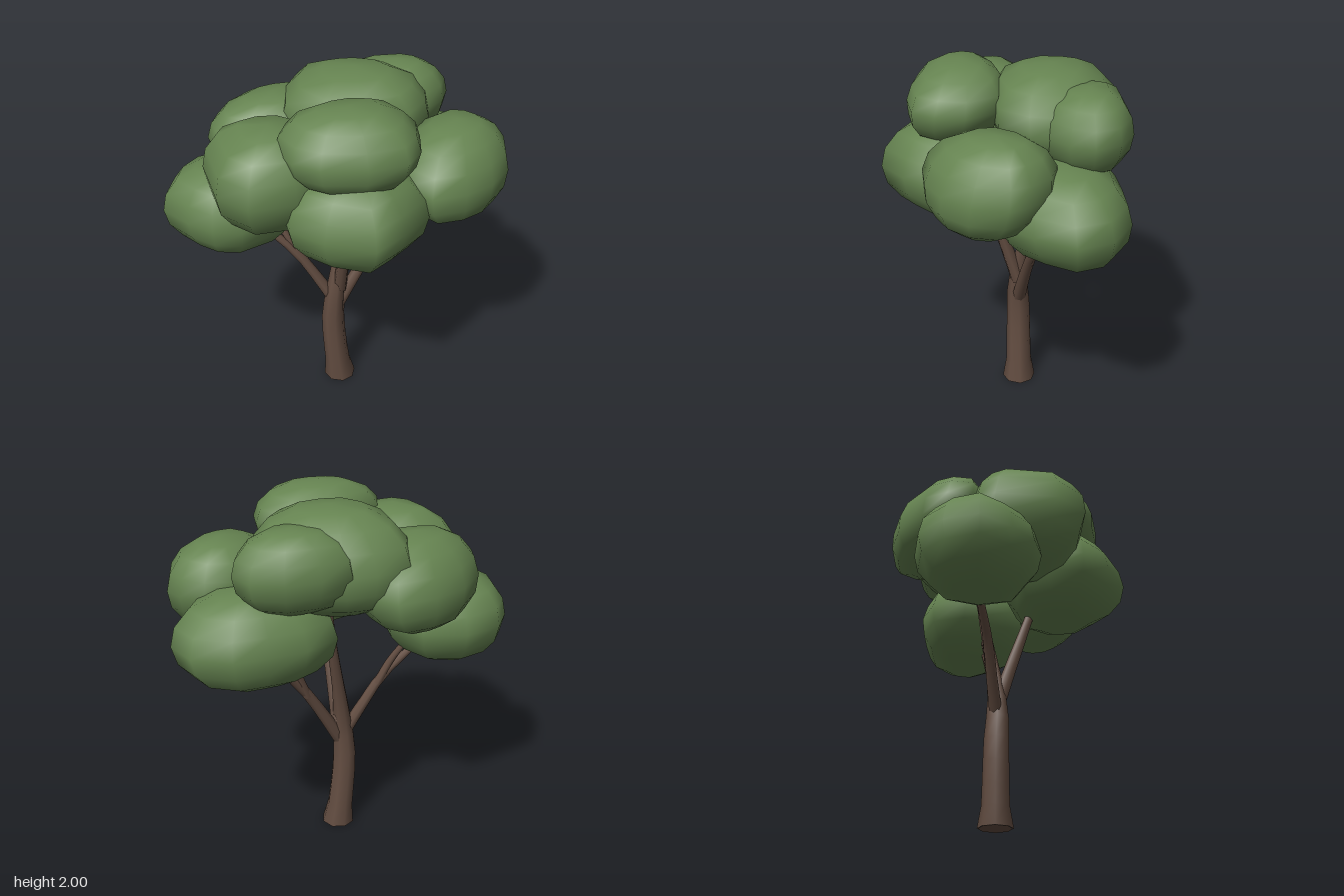
import * as THREE from 'three';
import { mergeVertices } from 'three/addons/utils/BufferGeometryUtils.js';

const bark = new THREE.MeshStandardMaterial({ color: 0x644e42 });
bark.name = 'bark brown';
const leaf = new THREE.MeshStandardMaterial({ color: 0x668451 });
leaf.name = 'leaf green';

// Tapered tube along a smooth path; radii are spread evenly along its length
function limb(name, points, radii, sides = 7, rings = 6) {
  const curve = new THREE.CatmullRomCurve3(points.map((p) => new THREE.Vector3(...p)));
  const geo = new THREE.TubeGeometry(curve, rings, 1, sides, false);
  const pos = geo.attributes.position;
  const v = new THREE.Vector3();
  for (let i = 0; i <= rings; i++) {
    const t = (i / rings) * (radii.length - 1);
    const k = Math.min(Math.floor(t), radii.length - 2);
    const r = THREE.MathUtils.lerp(radii[k], radii[k + 1], t - k);
    const c = curve.getPointAt(i / rings);
    for (let j = 0; j <= sides; j++) {
      const n = i * (sides + 1) + j;
      v.fromBufferAttribute(pos, n).sub(c).multiplyScalar(r).add(c);
      pos.setXYZ(n, v.x, v.y, v.z);
    }
  }
  const mesh = new THREE.Mesh(geo, bark);
  mesh.name = name;
  return mesh;
}

// Leaf clump: a plan outline of [x, z] points, swelling from a low pole to a high pole;
// lean moves the high pole along z and the low pole the other way
function clump(name, low, high, lean, outline) {
  const rows = 8, n = outline.length;
  const cx = outline.reduce((s, p) => s + p[0], 0) / n;
  const cz = outline.reduce((s, p) => s + p[1], 0) / n;
  const verts = [], index = [];
  for (let k = 0; k <= rows; k++) {
    const a = (k / rows) * Math.PI;
    const s = k % rows ? Math.sin(a) ** 0.85 : 0;
    const y = (low + high) / 2 + Math.cos(a) * (high - low) / 2;
    const shift = lean * Math.cos(a);
    outline.forEach(([x, z], j) => {
      verts.push(cx + (x - cx) * s, y, cz + (z - cz) * s + shift);
      if (k === rows) return;
      const p = k * n + j, q = k * n + (j + 1) % n;
      if (k < rows - 1) index.push(p, q + n, p + n);
      if (k > 0) index.push(p, q, q + n);
    });
  }
  let geo = new THREE.BufferGeometry();
  geo.setAttribute('position', new THREE.Float32BufferAttribute(verts, 3));
  geo.setIndex(index);
  geo = mergeVertices(geo);
  geo.computeVertexNormals();
  const mesh = new THREE.Mesh(geo, leaf);
  mesh.name = name;
  return mesh;
}

export function createModel() {
  const tree = new THREE.Group();
  tree.name = 'tree';

  // Trunk with a flared foot
  const trunk = limb('trunk',
    [[0, 0, -0.077], [-0.015, 0.12, -0.077], [-0.04, 0.45, -0.075], [-0.028, 0.65, -0.07],
      [0, 0.85, -0.09], [0.07, 1.2, -0.15], [0.1, 1.4, -0.18]],
    [0.096, 0.075, 0.072, 0.07, 0.068, 0.062, 0.052, 0.043, 0.036, 0.032, 0.028, 0.025, 0.022], 8, 12);
  const p = trunk.geometry.attributes.position;
  for (let i = 0; i < 9; i++) p.setY(i, 0);
  tree.add(trunk);

  const foot = new THREE.Mesh(new THREE.CircleGeometry(0.092, 8), bark);
  foot.name = 'trunkFoot';
  foot.rotation.x = Math.PI / 2;
  foot.position.set(0, 0.001, -0.077);
  tree.add(foot);

  // Branches: one forward, and a forked one on each side
  tree.add(
    limb('frontBranch', [[0, 0.68, -0.07], [0.005, 0.9, 0], [0.012, 1.2, 0.1], [0.015, 1.45, 0.18]],
      [0.042, 0.034, 0.026, 0.02]),
    limb('rightBranch', [[-0.03, 0.58, -0.075], [-0.14, 0.77, -0.1], [-0.25, 0.94, -0.12], [-0.46, 1.15, -0.17]],
      [0.038, 0.031, 0.026, 0.018]),
    limb('rightTwig', [[-0.22, 0.9, -0.12], [-0.29, 1.04, -0.14], [-0.36, 1.16, -0.18]], [0.025, 0.021, 0.016]),
    limb('leftBranch', [[-0.005, 0.57, -0.075], [0.1, 0.75, -0.09], [0.22, 0.94, -0.11], [0.48, 1.25, -0.17]],
      [0.04, 0.032, 0.026, 0.018]),
    limb('leftTwig', [[0.2, 0.9, -0.11], [0.26, 1.05, -0.13], [0.35, 1.34, -0.18]], [0.025, 0.021, 0.016]),
  );

  // Leaf clumps; outlines run left, back, right, front as seen from above
  tree.add(
    clump('rightLowClump', 1.04, 1.54, 0, [[-0.95, -0.15], [-0.89, -0.33], [-0.77, -0.46], [-0.55, -0.5],
      [-0.34, -0.4], [-0.25, -0.17], [-0.31, 0.06], [-0.56, 0.16], [-0.71, 0.12], [-0.83, 0.01]]),
    clump('leftLowClump', 1.14, 1.64, 0.02, [[0.12, -0.27], [0.17, -0.46], [0.36, -0.54], [0.55, -0.54], [0.73, -0.53],
      [0.9, -0.41], [0.95, -0.23], [0.83, -0.05], [0.7, 0.08], [0.5, 0.125], [0.26, 0]]),
    clump('rightClump', 1.28, 1.87, 0.03, [[-0.72, -0.08], [-0.67, -0.18], [-0.48, -0.25], [-0.25, -0.23], [-0.1, -0.1],
      [-0.06, 0.12], [-0.13, 0.3], [-0.3, 0.39], [-0.54, 0.4], [-0.68, 0.25]]),
    clump('leftClump', 1.305, 1.805, -0.04, [[0.24, 0.12], [0.4, -0.09], [0.6, -0.19], [0.75, -0.14], [0.84, -0.03],
      [0.88, 0.07], [0.83, 0.24], [0.7, 0.37], [0.54, 0.44], [0.36, 0.45], [0.25, 0.3]]),
    clump('frontClump', 1.175, 1.7, 0, [[-0.36, 0.2], [-0.26, 0.02], [0, -0.05], [0.26, 0.02], [0.38, 0.2],
      [0.36, 0.42], [0.2, 0.55], [0.03, 0.665], [-0.2, 0.55], [-0.35, 0.4]]),
    clump('frontTopClump', 1.59, 2, -0.03, [[-0.38, 0.23], [-0.32, 0.1], [-0.16, 0.03], [0.05, 0], [0.26, 0.06],
      [0.345, 0.23], [0.31, 0.38], [0.22, 0.49], [0.02, 0.515], [-0.2, 0.47], [-0.32, 0.38]]),
    clump('topClump', 1.48, 2, 0.05, [[-0.29, -0.18], [-0.25, -0.42], [-0.16, -0.58], [0.03, -0.6], [0.18, -0.58],
      [0.4, -0.48], [0.53, -0.26], [0.48, -0.07], [0.35, 0.07], [0.08, 0.1], [-0.16, 0.04]]),
    clump('backLeftClump', 1.535, 1.955, 0, [[0.04, -0.4], [0.15, -0.585], [0.3, -0.58], [0.48, -0.57], [0.62, -0.48],
      [0.665, -0.35], [0.61, -0.24], [0.48, -0.14], [0.28, -0.12], [0.1, -0.22]]),
    clump('backRightClump', 1.37, 1.845, 0.05, [[-0.67, -0.33], [-0.62, -0.45], [-0.45, -0.6], [-0.26, -0.66],
      [-0.05, -0.665], [0.04, -0.55], [0.06, -0.35], [-0.04, -0.17], [-0.25, -0.1], [-0.5, -0.13], [-0.65, -0.2]]),
  );

  return tree;
}
